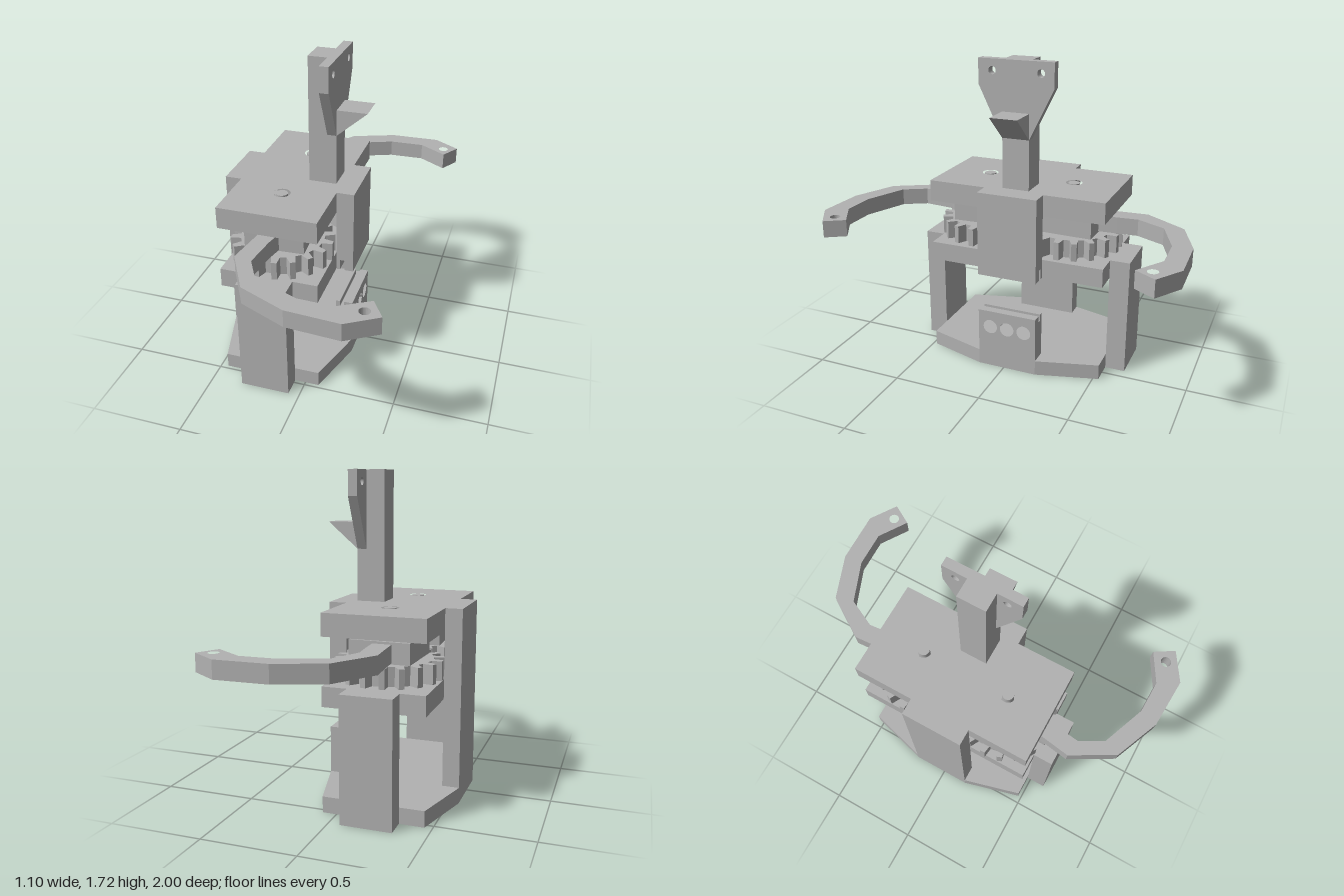
import * as THREE from 'three';

const grey = new THREE.MeshStandardMaterial({ color: 0xb2b2b2 });
grey.name = 'plain grey';

// Shape from [a, b] points with round holes [a, b, radius]
function outline(points, holes = []) {
  const shape = new THREE.Shape(points.map(([a, b]) => new THREE.Vector2(a, b)));
  for (const [a, b, r] of holes) {
    const path = new THREE.Path();
    path.absarc(a, b, r, 0, Math.PI * 2, true);
    shape.holes.push(path);
  }
  return shape;
}

function extrude(shape, depth) {
  return new THREE.ExtrudeGeometry(shape, { depth, bevelEnabled: false, curveSegments: 12 });
}

export function createModel() {
  const model = new THREE.Group();
  model.name = 'gripper';

  const add = (name, geometry) => {
    const mesh = new THREE.Mesh(geometry, grey);
    mesh.name = name;
    model.add(mesh);
    return mesh;
  };
  const box = (name, x0, x1, y0, y1, z0, z1) => add(name,
    new THREE.BoxGeometry(x1 - x0, y1 - y0, z1 - z0)
      .translate((x0 + x1) / 2, (y0 + y1) / 2, (z0 + z1) / 2));
  // Horizontal slab: points and holes given as x, z
  const slab = (name, points, y0, y1, holes = []) => {
    const shape = outline(points.map(([x, z]) => [x, -z]), holes.map(([x, z, r]) => [x, -z, r]));
    return add(name, extrude(shape, y1 - y0).rotateX(-Math.PI / 2).translate(0, y0, 0));
  };
  // Profile in x, y pushed along z
  const profileXY = (name, points, z0, z1) =>
    add(name, extrude(outline(points), z1 - z0).translate(0, 0, z0));
  // Profile in z, y pushed along x
  const profileZY = (name, points, x0, x1, holes = []) => {
    const shape = outline(points.map(([z, y]) => [-z, y]), holes.map(([z, y, r]) => [-z, y, r]));
    return add(name, extrude(shape, x1 - x0).rotateY(Math.PI / 2).translate(x0, 0, 0));
  };
  const cylinder = (name, r, y0, y1, x, z) => add(name,
    new THREE.CylinderGeometry(r, r, y1 - y0, 24).translate(x, (y0 + y1) / 2, z));

  const axleX = -0.195, frontZ = 0.235, backZ = -0.27;
  const zA = -0.19, zB = 0.15; // width of the central uprights

  // Plates
  slab('basePlate', [[-0.46, -0.53], [0.075, -0.53], [0.17, zA], [0.17, zB],
    [0.075, 0.48], [-0.46, 0.48], [-0.55, zB], [-0.55, zA]], 0, 0.085);
  const rect = [[-0.46, -0.53], [0.075, -0.53], [0.075, 0.48], [-0.46, 0.48]];
  const axleHoles = [[axleX, frontZ, 0.046], [axleX, backZ, 0.046]];
  slab('middlePlate', rect, 0.555, 0.66, axleHoles);
  slab('topPlate', rect, 0.91, 1.028, axleHoles);

  // Uprights
  box('sideWall', -0.55, -0.46, 0.085, 1.028, zA, zB);
  box('frontColumn', -0.33, -0.06, 0, 0.66, 0.48, 0.59);
  box('backColumn', -0.33, -0.06, 0, 0.66, -0.64, -0.53);

  // Slotted hanging block
  profileXY('upperSlottedBlock', [[0.075, 0.555], [0.097, 0.555], [0.097, 0.615], [0.122, 0.615],
    [0.122, 0.555], [0.17, 0.555], [0.17, 1.028], [0.075, 1.028]], zA, zB);

  // Lower block with three sensor holes and a slot between two rails
  profileZY('lowerSensorBlock', [[zA, 0.085], [zB, 0.085], [zB, 0.303], [zA, 0.303]], 0.075, 0.17,
    [0.08, -0.02, -0.12].map((z) => [z, 0.245, 0.041]));
  box('slotRail', 0.075, 0.097, 0.303, 0.34, zA, zB);
  box('slotRail', 0.122, 0.17, 0.303, 0.34, zA, zB);

  // Meshing gears
  const teeth = 18, step = (Math.PI * 2) / teeth;
  const gear = (name, z, phase) => {
    const points = [];
    for (let i = 0; i < teeth; i++) {
      for (const [r, t] of [[0.225, -0.29], [0.278, -0.15], [0.278, 0.15], [0.225, 0.29]]) {
        const a = (i + t) * step + phase;
        points.push([axleX + r * Math.cos(a), z + r * Math.sin(a)]);
      }
    }
    slab(name, points, 0.675, 0.775);
  };
  gear('frontGear', frontZ, 0);
  gear('backGear', backZ, 0);

  // Axles, washers and arm hubs
  for (const [name, z, low, turn] of [['front', frontZ, 0.5, 0.05], ['back', backZ, 0.53, -0.03]]) {
    cylinder(name + 'Axle', 0.032, low, 1.028, axleX, z);
    cylinder(name + 'Washer', 0.06, 0.66, 0.675, axleX, z);
    const hub = add(name + 'Hub', new THREE.BoxGeometry(0.32, 0.11, 0.32));
    hub.position.set(axleX, 0.83, z);
    hub.rotation.y = turn;
  }
  const drive = add('driveBlock', new THREE.BoxGeometry(0.12, 0.085, 0.12));
  drive.position.set(axleX, 0.5125, 0.242);
  drive.rotation.y = 0.05;

  // Curved gripper arms
  slab('frontArm', [[-0.24, 0.3], [-0.27, 0.48], [-0.295, 0.645], [-0.165, 0.875], [0.08, 0.98],
    [0.355, 0.997], [0.51, 0.9], [0.445, 0.795], [0.29, 0.885], [0.11, 0.88], [-0.13, 0.785],
    [-0.2, 0.66], [-0.18, 0.48], [-0.14, 0.3]], 0.78, 0.873, [[0.425, 0.88, 0.028]]);
  slab('backArm', [[-0.25, -0.32], [-0.26, -0.53], [-0.27, -0.675], [-0.125, -0.9], [0.12, -0.993],
    [0.4, -1], [0.545, -0.905], [0.48, -0.795], [0.325, -0.895], [0.13, -0.89], [-0.095, -0.8],
    [-0.17, -0.645], [-0.16, -0.53], [-0.15, -0.32]], 0.78, 0.873, [[0.465, -0.875, 0.028]]);

  // Mast with flared head plate and wedge shelf
  const mA = -0.097, mB = 0.055;
  box('mast', -0.105, -0.005, 1.028, 1.715, mA, mB);
  profileZY('headPlate', [[mA, 1.028], [mA, 1.305], [-0.232, 1.58], [-0.232, 1.715],
    [0.188, 1.715], [0.188, 1.58], [mB, 1.305], [mB, 1.028]], -0.005, 0.045,
  [[0.11, 1.655, 0.021], [-0.16, 1.655, 0.021]]);
  profileXY('wedgeShelf', [[0.045, 1.305], [0.207, 1.445], [0.045, 1.445]], mA, mB);

  return model;
}
